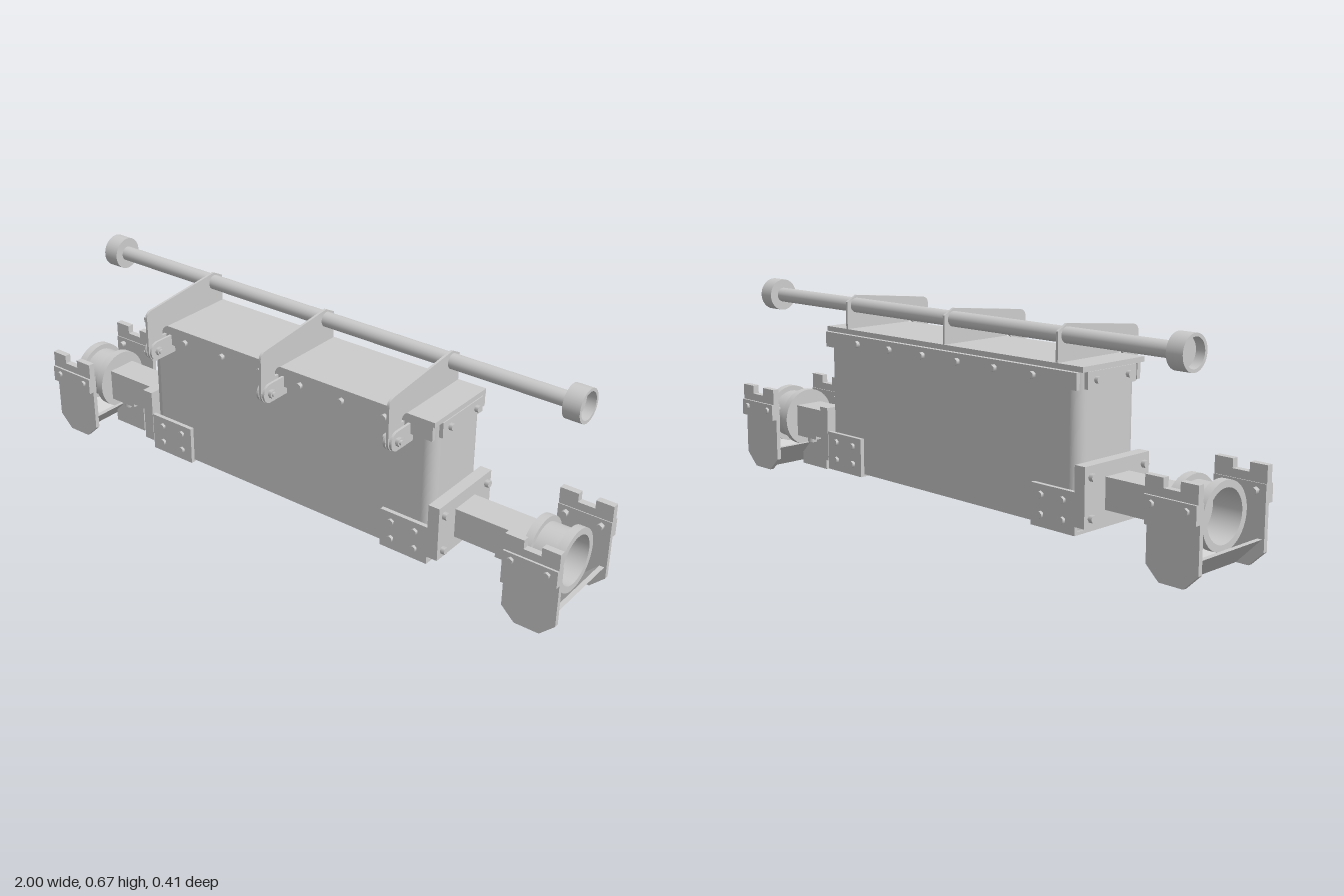
import * as THREE from 'three';

const MID = -0.026; // depth of the model's centre plane
const mat = new THREE.MeshStandardMaterial({ color: 0xcccccc });

function add(parent, name, geo, x = 0, y = 0, z = 0) {
  const m = new THREE.Mesh(geo, mat);
  m.name = name;
  m.position.set(x, y, z);
  parent.add(m);
  return m;
}
// Box given by its limits
function box(parent, name, x0, x1, y0, y1, z0, z1) {
  return add(parent, name, new THREE.BoxGeometry(x1 - x0, y1 - y0, z1 - z0),
    (x0 + x1) / 2, (y0 + y1) / 2, (z0 + z1) / 2);
}
// Cylinder lying along an axis
function rod(parent, name, axis, r, len, x, y, z, sides = 32) {
  const g = new THREE.CylinderGeometry(r, r, len, sides);
  if (axis === 'x') g.rotateZ(Math.PI / 2);
  if (axis === 'z') g.rotateX(Math.PI / 2);
  return add(parent, name, g, x, y, z);
}
const bolt = (parent, axis, x, y, z, len = 0.018, r = 0.011) => rod(parent, 'bolt', axis, r, len, x, y, z, 6);

function extrude(shape, depth) {
  return new THREE.ExtrudeGeometry(shape, { depth, bevelEnabled: false, curveSegments: 10 });
}
const polygon = pts => new THREE.Shape(pts.map(p => new THREE.Vector2(...p)));

// Revolved profile of [radius, x] points around the x axis
function turned(parent, name, pts, x, y, z) {
  // doubled points keep the edges sharp
  const sharp = [];
  pts.forEach((p, i) => { sharp.push(new THREE.Vector2(...p)); if (i && i < pts.length - 1) sharp.push(new THREE.Vector2(...p)); });
  const g = new THREE.LatheGeometry(sharp, 40);
  g.rotateZ(-Math.PI / 2);
  return add(parent, name, g, x, y, z);
}

// Main tank with rounded upright corners, lid and bolted rim
function makeTank() {
  const g = new THREE.Group();
  g.name = 'tank';
  const w = 0.555, d = 0.125, r = 0.035;
  const s = new THREE.Shape();
  s.moveTo(-w + r, -d);
  s.lineTo(w - r, -d); s.absarc(w - r, -d + r, r, -Math.PI / 2, 0);
  s.lineTo(w, d - r); s.absarc(w - r, d - r, r, 0, Math.PI / 2);
  s.lineTo(-w + r, d); s.absarc(-w + r, d - r, r, Math.PI / 2, Math.PI);
  s.lineTo(-w, -d + r); s.absarc(-w + r, -d + r, r, Math.PI, Math.PI * 1.5);
  const body = extrude(s, 0.46);
  body.rotateX(-Math.PI / 2);
  add(g, 'tankBody', body, 0, 0.065, MID);
  box(g, 'lid', -0.565, 0.565, 0.525, 0.541, -0.15, 0.118);

  for (const k of [-1, 1]) {
    const face = MID + k * 0.125;
    const out = MID + k * 0.139;
    box(g, 'longRimBar', -0.555, 0.555, 0.475, 0.525, Math.min(face, out), Math.max(face, out));
    for (let i = 0; i < 6; i++) bolt(g, 'z', -0.39 + i * 0.156, 0.5, MID + k * 0.143);
    const bar = box(g, 'endRimBar', 0.555, 0.568, 0.475, 0.525, MID - 0.105, MID + 0.105);
    bar.position.x *= k;
    for (const z of [0.042, -0.095]) bolt(g, 'x', k * 0.571, 0.5, z);
    // Corner brackets with their bolts
    for (const e of [-1, 1]) {
      add(g, 'cornerBracket', new THREE.BoxGeometry(0.17, 0.12, 0.014), e * 0.47, 0.125, MID + k * 0.132);
      for (const x of [0.425, 0.51]) for (const y of [0.095, 0.155]) bolt(g, 'z', e * x, y, MID + k * 0.142, 0.014);
    }
    add(g, 'bottomBracket', new THREE.BoxGeometry(0.17, 0.01, 0.278), k * 0.47, 0.062, MID);
    for (const x of [0.425, 0.51]) for (const z of [-0.08, 0.08]) bolt(g, 'y', k * x, 0.055, MID + z, 0.012);
  }
  return g;
}

// Swinging arm with the hook, lug and pivot bolt
function makeArm(x) {
  const g = new THREE.Group();
  g.name = 'handleArm';
  g.position.x = x;
  const s = new THREE.Shape();
  s.moveTo(-0.148, 0.541);
  s.lineTo(0.118, 0.541);
  s.lineTo(0.128, 0.543);
  s.quadraticCurveTo(0.143, 0.541, 0.143, 0.525);
  s.lineTo(0.143, 0.478);
  s.absarc(0.175, 0.478, 0.032, Math.PI, Math.PI * 2);
  s.lineTo(0.207, 0.595);
  s.quadraticCurveTo(0.207, 0.618, 0.18, 0.62);
  s.lineTo(-0.11, 0.65);
  s.lineTo(-0.148, 0.63);
  const arm = extrude(s, 0.008);
  arm.rotateY(-Math.PI / 2); // shape x becomes z
  add(g, 'armPlate', arm, 0.004);

  const l = new THREE.Shape();
  l.moveTo(0.098, 0.51);
  l.lineTo(0.098, 0.448);
  l.lineTo(0.176, 0.448);
  l.absarc(0.176, 0.479, 0.031, -Math.PI / 2, Math.PI / 2);
  for (const k of [-1, 1]) {
    const lug = extrude(l, 0.008);
    lug.rotateY(-Math.PI / 2);
    add(g, 'pivotLug', lug, k * 0.011 + 0.004);
    bolt(g, 'x', k * 0.02, 0.479, 0.176, 0.012, 0.014);
  }
  rod(g, 'pivotPin', 'x', 0.008, 0.064, 0, 0.479, 0.176, 16);
  return g;
}

// Long bar with hollow end caps
function makeHandle() {
  const g = new THREE.Group();
  g.name = 'handle';
  rod(g, 'handleBar', 'x', 0.024, 1.76, 0, 0.617, -0.11);
  for (const k of [-1, 1]) {
    const cap = turned(g, 'endCap', [[0, 0], [0.053, 0], [0.053, 0.055], [0.043, 0.055], [0.043, 0.025], [0, 0.025]],
      k * 0.86, 0.617, -0.11);
    if (k < 0) cap.rotation.y = Math.PI;
  }
  for (const x of [-0.465, 0, 0.465]) g.add(makeArm(x));
  return g;
}

// Support at one end, built for +x
function makeSupport() {
  const g = new THREE.Group();
  g.name = 'endSupport';
  box(g, 'mountPlate', 0.555, 0.593, 0.085, 0.265, MID - 0.141, MID + 0.141);
  for (const z of [-0.115, 0.115]) for (const y of [0.112, 0.232]) bolt(g, 'x', 0.597, y, MID + z, 0.02, 0.012);
  box(g, 'beam', 0.593, 0.85, 0.125, 0.222, MID - 0.052, MID + 0.052);
  box(g, 'beamFoot', 0.735, 0.84, 0.113, 0.125, MID - 0.052, MID + 0.052);
  box(g, 'gusset', 0.735, 0.87, 0.0, 0.115, MID - 0.008, MID + 0.008);
  for (const z of [-0.032, 0.032]) bolt(g, 'y', 0.78, 0.106, MID + z, 0.018, 0.016);

  // Spool with an open recess facing outwards
  turned(g, 'spool', [[0, 0.84], [0.1, 0.84], [0.1, 0.866], [0.083, 0.866], [0.083, 0.94], [0.1, 0.94],
    [0.1, 0.967], [0.079, 0.967], [0.079, 0.87], [0, 0.87]], 0, 0.172, MID);

  // Bent tray below the spool
  const tray = polygon([[0.827, 0.083], [0.91, 0], [0.993, 0.083], [0.977, 0.083], [0.91, 0.016], [0.843, 0.083]]);
  add(g, 'tray', extrude(tray, 0.282), 0, 0, MID - 0.141);

  // Chamfered cheek plates with notched upper plates
  const cheek = polygon([[0.87, 0], [0.952, 0], [1, 0.046], [1, 0.24], [0.825, 0.24], [0.825, 0.043]]);
  const upper = polygon([[0.825, 0.185], [1, 0.185], [1, 0.293], [0.942, 0.293], [0.942, 0.265], [0.93, 0.265],
    [0.886, 0.265], [0.886, 0.293], [0.825, 0.293]]);
  for (const k of [-1, 1]) {
    add(g, 'cheekPlate', extrude(cheek, 0.015), 0, 0, MID + k * 0.1475 - 0.0075);
    add(g, 'notchedPlate', extrude(upper, 0.022), 0, 0, MID + k * 0.154 - 0.011);
    box(g, 'strap', 0.825, 1, 0.185, 0.24, MID + k * 0.168 - 0.004, MID + k * 0.168 + 0.004);
    for (const x of [0.852, 0.968]) {
      bolt(g, 'z', x, 0.218, MID + k * 0.174, 0.014);
      bolt(g, 'z', x, 0.218, MID + k * 0.134, 0.02);
    }
  }
  return g;
}

export function createModel() {
  const model = new THREE.Group();
  model.name = 'tankAssembly';
  model.add(makeTank(), makeHandle());
  const left = makeSupport();
  const right = makeSupport();
  right.rotation.y = Math.PI; // the support is symmetric about its centre plane
  right.position.z = 2 * MID;
  model.add(left, right);
  return model;
}
